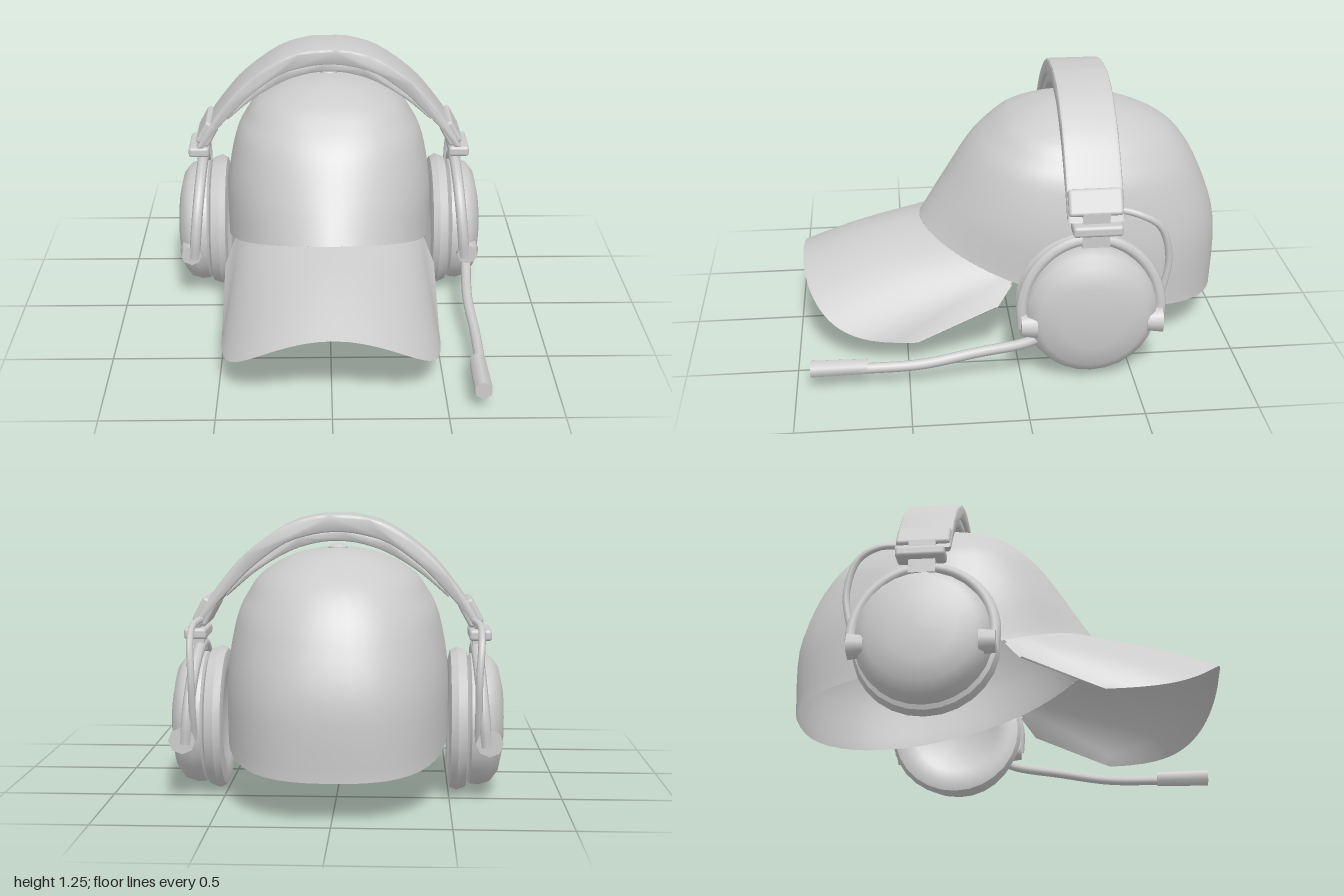
import * as THREE from 'three';
import { toCreasedNormals } from 'three/addons/utils/BufferGeometryUtils.js';
import { ParametricGeometry } from 'three/addons/geometries/ParametricGeometry.js';
import { RoundedBoxGeometry } from 'three/addons/geometries/RoundedBoxGeometry.js';

const material = new THREE.MeshStandardMaterial({ color: 0xcccccc, side: THREE.DoubleSide });
const V = (x, y, z) => new THREE.Vector3(x, y, z);
const spow = (v, p) => Math.sign(v) * Math.abs(v) ** p;
const spline = pts => new THREE.SplineCurve(pts.map(p => new THREE.Vector2(...p)));

function add(parent, name, geometry, x = 0, y = 0, z = 0) {
  const mesh = new THREE.Mesh(geometry, material);
  mesh.name = name;
  mesh.position.set(x, y, z);
  parent.add(mesh);
  return mesh;
}

function tube(points, radius, segments = 28) {
  return new THREE.TubeGeometry(new THREE.CatmullRomCurve3(points), segments, radius, 8);
}

// Lower edge of the cap; angle 0 is the front, the back is fuller than the front
function rim(a, roundness = 0) {
  const full = 0.9 + 0.1 * Math.cos(a), e = full + (1 - full) * roundness;
  const z = -0.28 + 0.7 * spow(Math.cos(a), e);
  const t = (z + 0.98) / 1.4;
  return V(0.495 * spow(Math.sin(a), e), 0.19 + 0.1 * t + 0.25 * t * t, z);
}

// Crown profiles from rim to apex: [share of radius, share of height]
const frontProfile = spline([[1, 0], [0.86, 0.28], [0.7, 0.59], [0.56, 0.77], [0.41, 0.9], [0.2, 0.985], [0, 1]]);
const sideProfile = spline([[1, 0], [1, 0.34], [0.92, 0.62], [0.82, 0.75], [0.68, 0.86], [0.38, 0.96], [0, 1]]);
const backProfile = spline([[1, 0], [1.01, 0.34], [0.9, 0.6], [0.75, 0.785], [0.57, 0.89], [0.28, 0.97], [0, 1]]);

function crownPoint(u, v, out) {
  const a = u * Math.PI * 2, c = Math.cos(a), r = rim(a, v), t = v * 0.998;
  const p = sideProfile.getPoint(t).lerp((c > 0 ? frontProfile : backProfile).getPoint(t), c * c);
  out.set(r.x * p.x, r.y + (1.115 - r.y) * p.y, -0.33 + (r.z + 0.33) * p.x);
}

// Arched brim: v runs out along the top and back along the underside
function brimPoint(u, v, out) {
  const w = u * 2 - 1, t = 1 - Math.abs(2 * v - 1);
  const inner = rim(w * 1.15), b = w * Math.PI / 2;
  const x = 0.5 * spow(Math.sin(b), 0.75);
  const z = 0.1 + 0.875 * Math.max(0, Math.cos(b)) ** 0.34;
  const y = 0.38 - 1.03 * x * x + 0.22 * Math.max(0, (0.4 - z) / 0.4);
  out.copy(inner).lerp(V(x, y, z), t);
  out.y += 0.02 * Math.sin(Math.PI * t) * Math.cos(b) - (v > 0.5 ? 0.015 : 0);
}

function buildCap() {
  const cap = new THREE.Group();
  cap.name = 'cap';
  add(cap, 'crown', new ParametricGeometry(crownPoint, 48, 24));
  add(cap, 'brim', toCreasedNormals(new ParametricGeometry(brimPoint, 44, 18), 0.9));
  const button = add(cap, 'topButton', new THREE.SphereGeometry(0.045, 14, 8), 0, 1.11, -0.33);
  button.scale.y = 0.4;
  return cap;
}

// Mirrored arch between an outer and an inner half profile
function archGeometry(outer, inner, depth) {
  const sample = half => spline([...half.map(([x, y]) => [-x, y]), ...half.slice(0, -1).reverse()]).getPoints(36);
  const shape = new THREE.Shape([...sample(outer), ...sample(inner).reverse()]);
  const g = new THREE.ExtrudeGeometry(shape, {
    depth: depth - 0.03, bevelThickness: 0.015, bevelSize: 0.01, bevelOffset: -0.01, bevelSegments: 2,
  });
  g.translate(0, 0, -(depth - 0.03) / 2);
  return toCreasedNormals(g, 0.7);
}

function buildSide(s) {
  const side = new THREE.Group();
  side.name = s > 0 ? 'leftEarpiece' : 'rightEarpiece';
  const cy = 0.335, cz = -0.31;
  const lathe = (name, pts) => {
    const g = new THREE.LatheGeometry(pts.map(([r, x]) => new THREE.Vector2(r, x)), 28);
    add(side, name, toCreasedNormals(g, 0.7), 0, cy, cz).rotation.z = -s * Math.PI / 2;
  };
  // Cushion and shell of the ear cup
  lathe('earCushion', [[0, 0.53], [0.18, 0.52], [0.21, 0.505], [0.27, 0.495], [0.31, 0.505], [0.325, 0.535], [0.31, 0.575], [0.27, 0.59]]);
  lathe('earShell', [[0.27, 0.58], [0.295, 0.595], [0.3, 0.635], [0.285, 0.685], [0.24, 0.72], [0.15, 0.74], [0, 0.745]]);

  // Slider and hinge between headband and yoke
  add(side, 'sliderBlock', new RoundedBoxGeometry(0.07, 0.12, 0.24, 2, 0.015), s * 0.59, 0.83, -0.325).rotation.z = s * 0.5;
  add(side, 'sliderStem', new THREE.BoxGeometry(0.045, 0.16, 0.12), s * 0.625, 0.72, -0.325);
  add(side, 'hinge', new RoundedBoxGeometry(0.1, 0.05, 0.22, 2, 0.015), s * 0.635, 0.73, -0.33);

  // Yoke gripping the cup at front and back
  const yoke = [];
  for (let i = 0; i <= 12; i++) {
    const a = THREE.MathUtils.lerp(-0.2, Math.PI + 0.2, i / 12);
    yoke.push(V(s * (0.65 - 0.03 * Math.sin(a)), cy + 0.335 * Math.sin(a), cz + 0.31 * Math.cos(a)));
  }
  add(side, 'yoke', tube(yoke, 0.026, 36));
  for (const dz of [0.28, -0.28]) {
    const pivot = add(side, 'yokePivot', new THREE.CylinderGeometry(0.05, 0.06, 0.07, 8), s * 0.67, 0.285, cz + dz);
    pivot.rotation.x = Math.PI / 2;
  }

  // Cable looping from the headband down behind the cup
  add(side, 'cable', tube([V(s * 0.6, 0.8, -0.42), V(s * 0.63, 0.78, -0.52), V(s * 0.63, 0.72, -0.61),
    V(s * 0.62, 0.57, -0.655), V(s * 0.62, 0.42, -0.635), V(s * 0.62, 0.28, -0.59)], 0.016));
  return side;
}

function buildHeadset() {
  const headset = new THREE.Group();
  headset.name = 'headset';
  const outer = [[0.645, 0.76], [0.59, 0.86], [0.5, 0.985], [0.4, 1.095], [0.24, 1.21], [0.1, 1.255], [0, 1.26]];
  const inner = [[0.61, 0.76], [0.555, 0.84], [0.46, 0.945], [0.37, 1.035], [0.23, 1.135], [0.1, 1.175], [0, 1.185]];
  add(headset, 'headband', archGeometry(outer, inner, 0.25), 0, 0, -0.325);
  const padOuter = [[0.5, 0.915], [0.37, 1.045], [0.23, 1.145], [0.1, 1.185], [0, 1.195]];
  const padInner = [[0.49, 0.9], [0.36, 1.01], [0.22, 1.095], [0.1, 1.135], [0, 1.145]];
  add(headset, 'headbandPad', archGeometry(padOuter, padInner, 0.22), 0, 0, -0.325);
  headset.add(buildSide(1), buildSide(-1));

  // Microphone boom on the left cup
  add(headset, 'microphoneBoom', tube([V(0.68, 0.27, -0.16), V(0.67, 0.2, -0.03), V(0.655, 0.15, 0.2),
    V(0.665, 0.11, 0.45), V(0.66, 0.1, 0.72)], 0.024));
  const mic = add(headset, 'microphone', new THREE.CylinderGeometry(0.042, 0.038, 0.25, 6), 0.65, 0.105, 0.81);
  mic.rotation.x = Math.PI / 2;
  return headset;
}

export function createModel() {
  const model = new THREE.Group();
  model.name = 'capWithHeadset';
  model.add(buildCap(), buildHeadset());
  return model;
}
